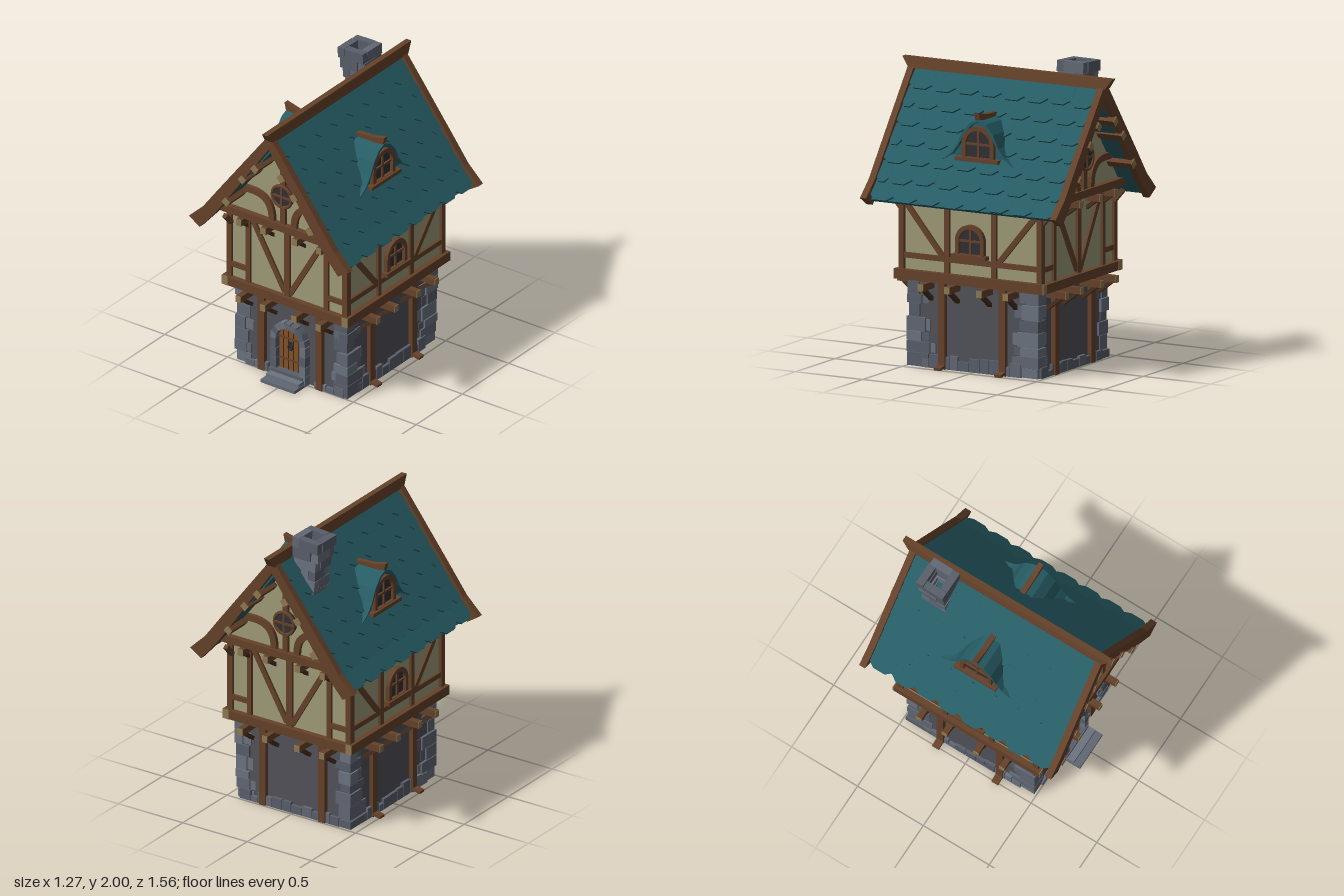
import * as THREE from 'three';

const V = (x, y, z = 0) => new THREE.Vector3(x, y, z);
const mat = (color) => new THREE.MeshStandardMaterial({ color, flatShading: true, side: THREE.DoubleSide });
const WOOD = mat(0x66422a), DARK = mat(0x4a2f1c), TAN = mat(0x8f7a52), PLASTER = mat(0x9f9b78);
const WALL = mat(0x52525a), STONE = [mat(0x626874), mat(0x6c7480), mat(0x595e6a)];
const TEAL = mat(0x275d66), GLASS = mat(0x303036), DOOR = mat(0x825229), IRON = mat(0x2c2c30);

let seed = 7;
const rnd = (a, b) => a + (b - a) * ((seed = (seed * 16807) % 2147483647) / 2147483647);
const stoneMat = () => STONE[Math.floor(rnd(0, 2.99))];

function add(parent, name, geo, material, x = 0, y = 0, z = 0) {
  const m = new THREE.Mesh(geo, material);
  m.name = name;
  m.position.set(x, y, z);
  parent.add(m);
  return m;
}
const box = (p, name, material, w, h, d, x, y, z) => add(p, name, new THREE.BoxGeometry(w, h, d), material, x, y, z);

// Beam of section w x d running from a to b
function bar(p, name, material, a, b, w, d) {
  const c = a.clone().add(b).multiplyScalar(0.5);
  const m = box(p, name, material, w, a.distanceTo(b), d, c.x, c.y, c.z);
  m.quaternion.setFromUnitVectors(V(0, 1, 0), b.clone().sub(a).normalize());
}
const poly = (pts, sx = 1) => new THREE.Shape(pts.map(([x, y]) => new THREE.Vector2(x * sx, y)));
const extrude = (shape, depth) => new THREE.ExtrudeGeometry(shape, { depth, bevelEnabled: false, curveSegments: 10 });
function arch(r, h, y0 = 0) {
  const s = new THREE.Shape();
  s.moveTo(-r, y0).lineTo(r, y0).lineTo(r, h).absarc(0, h, r, 0, Math.PI, false).lineTo(-r, y0);
  return s;
}

// Arched window with frame, glass, glazing bars and sill
function archWindow(p, y, z, r, h, frame, sill) {
  const g = new THREE.Group();
  g.name = 'archWindow';
  g.position.set(0, y, z);
  p.add(g);
  const ring = arch(r, h);
  ring.holes.push(arch(r - frame, h, 0.015));
  add(g, 'windowFrame', extrude(ring, 0.03), WOOD);
  add(g, 'glass', extrude(arch(r - frame, h), 0.008), GLASS);
  box(g, 'mullion', WOOD, 0.014, h + r - frame, 0.012, 0, (h + r - frame) / 2, 0.014);
  box(g, 'glazingBar', WOOD, 2 * (r - frame), 0.014, 0.012, 0, h, 0.014);
  box(g, 'sill', WOOD, sill, 0.025, 0.05, 0, 0, 0.02);
}

// Projecting joist with pale end and a diagonal bracket below
function joist(p, x, y, z0, z1) {
  box(p, 'joist', WOOD, 0.04, 0.045, z1 - z0, x, y, (z0 + z1) / 2);
  box(p, 'joistEnd', TAN, 0.041, 0.046, 0.004, x, y, z1);
  bar(p, 'bracket', DARK, V(x, y - 0.095, z1 - 0.14), V(x, y - 0.02, z1 - 0.04), 0.03, 0.024);
}

// Timber framing of a gable face, outward along +z
function gableFace(p) {
  const z = 0.525;
  for (const s of [-1, 1]) {
    box(p, 'groundPost', WOOD, 0.05, 0.57, 0.04, s * 0.23, 0.285, 0.482);
    box(p, 'cornerPost', WOOD, 0.04, 0.52, 0.04, s * 0.46, 0.88, 0.513);
    box(p, 'wallPost', WOOD, 0.034, 0.5, 0.03, s * 0.31, 0.88, z - 0.006);
    box(p, 'lowRail', WOOD, 0.14, 0.035, 0.024, s * 0.385, 0.722, z - 0.006);
    bar(p, 'diagonalBrace', WOOD, V(s * 0.29, 1.12, z - 0.006), V(s * 0.02, 0.65, z - 0.006), 0.036, 0.024);
    for (const x of [0.125, 0.318]) {
      joist(p, s * x, 0.543, 0.45, 0.625);
      joist(p, s * x, 1.105, 0.5, 0.62);
    }
    // Curved brace beside the round window
    const b = new THREE.Shape();
    b.moveTo(s * 0.065, 1.18).lineTo(s * 0.11, 1.18).quadraticCurveTo(s * 0.11, 1.325, s * 0.24, 1.325)
      .lineTo(s * 0.33, 1.325).lineTo(s * 0.295, 1.37).lineTo(s * 0.23, 1.37).quadraticCurveTo(s * 0.065, 1.36, s * 0.065, 1.18);
    add(p, 'curvedBrace', extrude(b, 0.03), WOOD, 0, 0, 0.55);
    // Bargeboard following the flared roof edge
    const edge = [[0, 1.9], [0.39, 1.385], [0.52, 1.21], [0.635, 1.1], [0.55, 1.045], [0.44, 1.17], [0.36, 1.28], [0, 1.795]];
    add(p, 'bargeboard', extrude(poly(edge, s), 0.045), WOOD, 0, 0, 0.683);
    for (const [x, y] of [[0.105, 1.62], [0.205, 1.51], [0.332, 1.305]]) {
      box(p, 'purlin', WOOD, 0.046, 0.046, 0.2, s * x, y, 0.64).rotation.z = -s * 0.92;
      box(p, 'purlinEnd', TAN, 0.047, 0.047, 0.004, s * x, y, 0.74).rotation.z = -s * 0.92;
    }
  }
  box(p, 'centrePost', WOOD, 0.045, 0.5, 0.03, 0, 0.88, z - 0.006);
  box(p, 'gablePost', WOOD, 0.04, 0.6, 0.03, 0, 1.48, 0.563);
  box(p, 'floorBeam', WOOD, 0.97, 0.06, 0.06, 0, 0.6, z);
  box(p, 'gableBeam', WOOD, 0.97, 0.05, 0.07, 0, 1.155, 0.56);
  // Round window
  add(p, 'roundGlass', new THREE.CylinderGeometry(0.08, 0.08, 0.03, 20), GLASS, 0, 1.385, 0.572).rotation.x = Math.PI / 2;
  add(p, 'roundFrame', new THREE.TorusGeometry(0.077, 0.012, 6, 20), WOOD, 0, 1.385, 0.586);
  box(p, 'roundMullion', WOOD, 0.014, 0.15, 0.014, 0, 1.385, 0.588);
  box(p, 'roundBar', WOOD, 0.15, 0.014, 0.014, 0, 1.385, 0.588);
}

// Timber framing of an eaves face, outward along local +z
function eavesFace(p) {
  const z = 0.464;
  for (const s of [-1, 1]) {
    box(p, 'groundPost', WOOD, 0.05, 0.57, 0.04, s * 0.225, 0.285, 0.44);
    box(p, 'postFoot', WOOD, 0.05, 0.018, 0.1, s * 0.225, 0.019, 0.465).rotation.x = 0.2;
    box(p, 'wallPost', WOOD, 0.036, 0.52, 0.03, s * 0.175, 0.89, z);
    bar(p, 'diagonalBrace', WOOD, V(s * 0.5, 1.09, z), V(s * 0.2, 0.73, z), 0.036, 0.026);
    bar(p, 'eavesBracket', WOOD, V(s * 0.52, 1.02, 0.45), V(s * 0.59, 1.1, 0.45), 0.03, 0.03);
    for (const x of [0.12, 0.315]) joist(p, s * x, 0.543, 0.41, 0.57);
    box(p, 'floorBeamEnd', TAN, 0.004, 0.066, 0.046, s * 0.555, 0.602, 0.478);
  }
  box(p, 'rail', WOOD, 1.02, 0.035, 0.026, 0, 0.726, z);
  box(p, 'topRail', WOOD, 1.06, 0.04, 0.03, 0, 1.12, z);
  box(p, 'floorBeam', WOOD, 1.11, 0.065, 0.045, 0, 0.602, 0.478);
  archWindow(p, 0.762, 0.46, 0.107, 0.1, 0.028, 0.26);
}

// One roof slope (+x side) with overlapping tiles and an eyebrow dormer
function roofSlope(p) {
  const sheet = [[0, 1.825], [0.39, 1.31], [0.5, 1.165], [0.57, 1.085], [0.55, 1.07], [0.47, 1.155], [0.37, 1.275], [0, 1.77]];
  add(p, 'roofSheet', extrude(poly(sheet), 1.37), TEAL, 0, 0, -0.685);
  const curve = new THREE.CatmullRomCurve3([V(0, 1.83), V(0.2, 1.568), V(0.39, 1.315), V(0.5, 1.17), V(0.575, 1.08)]);
  const rows = 7, cols = 8, w = 1.37 / cols, h = 0.16;
  const tile = extrude(poly([[-w / 2, 0.035], [-w / 4, 0], [w / 4, 0], [w / 2, 0.035], [w / 2, h], [-w / 2, h]]), 0.012);
  for (let i = 0; i < rows; i++) {
    const low = curve.getPointAt((i + 1) / rows), up = curve.getPointAt(i / rows).sub(low).normalize();
    const n = V(up.y, -up.x), odd = i % 2;
    for (let j = 0; j < cols + odd; j++) {
      const half = odd && (j === 0 || j === cols);
      let z = -0.685 + (j + (odd ? 0 : 0.5)) * w;
      if (half) z += (j ? -1 : 1) * w / 4;
      const m = add(p, 'roofTile', tile, TEAL);
      m.quaternion.setFromRotationMatrix(new THREE.Matrix4().makeBasis(V(0, 0, -1), up, n));
      m.rotateX(-0.09);
      m.position.copy(low).addScaledVector(n, 0.018).addScaledVector(up, rnd(-0.012, 0));
      m.position.z = z;
      if (half) m.scale.x = 0.5;
    }
  }
  // Dormer: bell-shaped band swept back until it meets the slope
  const d = new THREE.Group();
  d.name = 'dormer';
  d.rotation.y = Math.PI / 2;
  p.add(d);
  const bell = (k) => {
    const half = [[0.275, 1.355], [0.2, 1.405], [0.155, 1.465], [0.115, 1.55], [0.06, 1.615], [0, 1.642]];
    const pts = half.map(([x, y]) => [Math.max(0, x - k * (x > 0 ? 1 : 0)), y - (x < 0.13 ? k : 0)]);
    return [...pts, ...pts.slice(0, -1).reverse().map(([x, y]) => [-x, y])];
  };
  const band = extrude(poly([...bell(0), ...bell(0.014).reverse()]), 1);
  const a = band.attributes.position;
  for (let i = 0; i < a.count; i++) a.setZ(i, a.getZ(i) > 0.5 ? 0.387 : (1.83 - a.getY(i)) / 1.32 - 0.01);
  band.computeVertexNormals();
  add(d, 'dormerRoof', band, TEAL);
  add(d, 'dormerFront', extrude(poly(bell(0.01)), 0.01), TEAL, 0, 0, 0.348);
  archWindow(d, 1.377, 0.357, 0.118, 0.1, 0.028, 0.32);
  const ridge = [[0.17, 1.62], [0.3, 1.63], [0.385, 1.64], [0.397, 1.69], [0.3, 1.665], [0.17, 1.66]];
  add(p, 'dormerRidge', extrude(poly(ridge), 0.036), WOOD, 0, 0, -0.018);
}

// Stone quoins and plinth stones of the ground floor
function stonework(p) {
  for (const sx of [-1, 1]) for (const sz of [-1, 1]) {
    for (let i = 0, y = 0; y < 0.56; i++) {
      const h = Math.min(rnd(0.055, 0.1), 0.57 - y), low = 0.06 * Math.max(0, 1 - y / 0.35);
      const lx = (i % 2 ? 0.06 : 0.09) + low * 0.5 + rnd(-0.01, 0.015), lz = (i % 2 ? 0.12 : 0.08) + low + rnd(-0.01, 0.02);
      const j = rnd(-0.012, 0.005), e = rnd(0.03, 0.06), c = y + h / 2;
      box(p, 'quoin', stoneMat(), lx, h - 0.004, lz, sx * (0.447 + j - lx / 2), c, sz * (0.487 + j - lz / 2));
      // Smaller filler stones keyed in beside the quoin
      box(p, 'quoinFiller', stoneMat(), 0.06, h * 0.8, e, sx * (0.435 + j - 0.03), c, sz * (0.487 + j - lz - e / 2));
      if (i % 2) box(p, 'quoinFiller', stoneMat(), e, h * 0.8, 0.06, sx * (0.447 + j - lx - e / 2), c, sz * (0.477 + j - 0.03));
      y += h;
    }
  }
  for (const s of [-1, 1]) {
    for (let x = -0.36; x < 0.36;) {
      const w = rnd(0.05, 0.09), h = rnd(0.035, 0.075);
      if (s < 0 || Math.abs(x + w / 2) > 0.15) box(p, 'plinthStone', stoneMat(), w - 0.004, h, 0.075, x + w / 2, h / 2, s * 0.455);
      x += w;
    }
    for (let z = -0.36; z < 0.36;) {
      const w = rnd(0.05, 0.09), h = rnd(0.045, 0.1);
      box(p, 'plinthStone', stoneMat(), 0.075, h, w - 0.004, s * 0.413, h / 2, z + w / 2);
      z += w;
    }
  }
}

// Arched plank door with stone surround and steps
function entrance(p) {
  add(p, 'door', extrude(arch(0.097, 0.285, 0.06), 0.02), DOOR, 0, 0, 0.465);
  for (const x of [-0.06, -0.02, 0.02, 0.06]) box(p, 'plankJoint', DARK, 0.005, 0.29, 0.004, x, 0.2, 0.486);
  for (const y of [0.14, 0.295]) box(p, 'hingeStrap', WOOD, 0.18, 0.014, 0.008, 0, y, 0.488);
  box(p, 'knockerPlate', IRON, 0.022, 0.05, 0.008, 0, 0.25, 0.488);
  add(p, 'knocker', new THREE.TorusGeometry(0.018, 0.005, 5, 12), IRON, 0, 0.235, 0.495);
  for (const s of [-1, 1]) for (let i = 0; i < 4; i++)
    box(p, 'jambStone', stoneMat(), rnd(0.04, 0.05), 0.068, 0.1, s * 0.116, 0.035 + i * 0.071, 0.475);
  for (let i = 0; i < 9; i++) {
    const t = (i + 0.5) / 9 * Math.PI;
    box(p, 'archStone', stoneMat(), 0.044, 0.042, 0.1, Math.cos(t) * 0.116, 0.285 + Math.sin(t) * 0.116, 0.475).rotation.z = t;
  }
  for (let i = 0; i < 3; i++)
    box(p, 'step', STONE[i], 0.27 - i * 0.01, 0.022, 0.17 - i * 0.05, 0, 0.011 + i * 0.022, 0.548 - i * 0.025);
}

// Hollow, slightly leaning chimney of interlocked blocks
function chimney(p) {
  const t = 0.052, halves = [0.09, 0.086, 0.08, 0.084, 0.094, 0.1], h = 0.425 / halves.length;
  halves.forEach((half, i) => {
    const ring = new THREE.Group();
    ring.name = 'chimneyCourse';
    ring.position.set(-0.1 - 0.007 * i, 1.565 + (i + 0.5) * h, -0.443);
    ring.rotation.set(0, rnd(-0.04, 0.04), i % 2 ? 0.05 : 0.03);
    for (let q = 0; q < 4; q++) {
      const side = new THREE.Group();
      side.rotation.y = q * Math.PI / 2;
      box(side, 'chimneyBlock', stoneMat(), 2 * half - t, h, t, (i % 2 ? 1 : -1) * t / 2, 0, half - t / 2 + rnd(0, 0.006));
      ring.add(side);
    }
    p.add(ring);
  });
}

export function createModel() {
  const house = new THREE.Group(), body = new THREE.Group();
  house.name = 'house';
  body.name = 'houseBody';
  body.position.z = 0.007;
  house.add(body);
  // Wall bodies; the ground floor is open underneath
  for (const s of [-1, 1]) {
    box(body, 'groundWall', WALL, 0.86, 0.57, 0.02, 0, 0.285, s * 0.46);
    box(body, 'groundWall', WALL, 0.02, 0.57, 0.92, s * 0.42, 0.285, 0);
  }
  box(body, 'upperWalls', PLASTER, 0.92, 0.58, 1.03, 0, 0.86, 0);
  add(body, 'gableWalls', extrude(poly([[-0.455, 1.14], [0.455, 1.14], [0.455, 1.165], [0, 1.78], [-0.455, 1.165]]), 1.11), PLASTER, 0, 0, -0.555);
  // Opposite sides repeat by a half turn
  for (let i = 0; i < 2; i++) {
    for (const [name, build, turn] of [['gableFace', gableFace, 0], ['eavesFace', eavesFace, Math.PI / 2], ['roofSlope', roofSlope, 0]]) {
      const g = new THREE.Group();
      g.name = name;
      g.rotation.y = turn + i * Math.PI;
      build(g);
      body.add(g);
    }
  }
  // Ridge beam, tapered upward with raked ends
  const rg = new THREE.BoxGeometry(0.066, 0.07, 1.46), r = rg.attributes.position;
  for (let i = 0; i < r.count; i++) if (r.getY(i) > 0) r.setXYZ(i, r.getX(i) * 0.6, r.getY(i), r.getZ(i) * 1.07);
  add(house, 'ridgeBeam', rg, WOOD, 0, 1.885, 0);
  stonework(body);
  entrance(body);
  chimney(body);
  return house;
}
